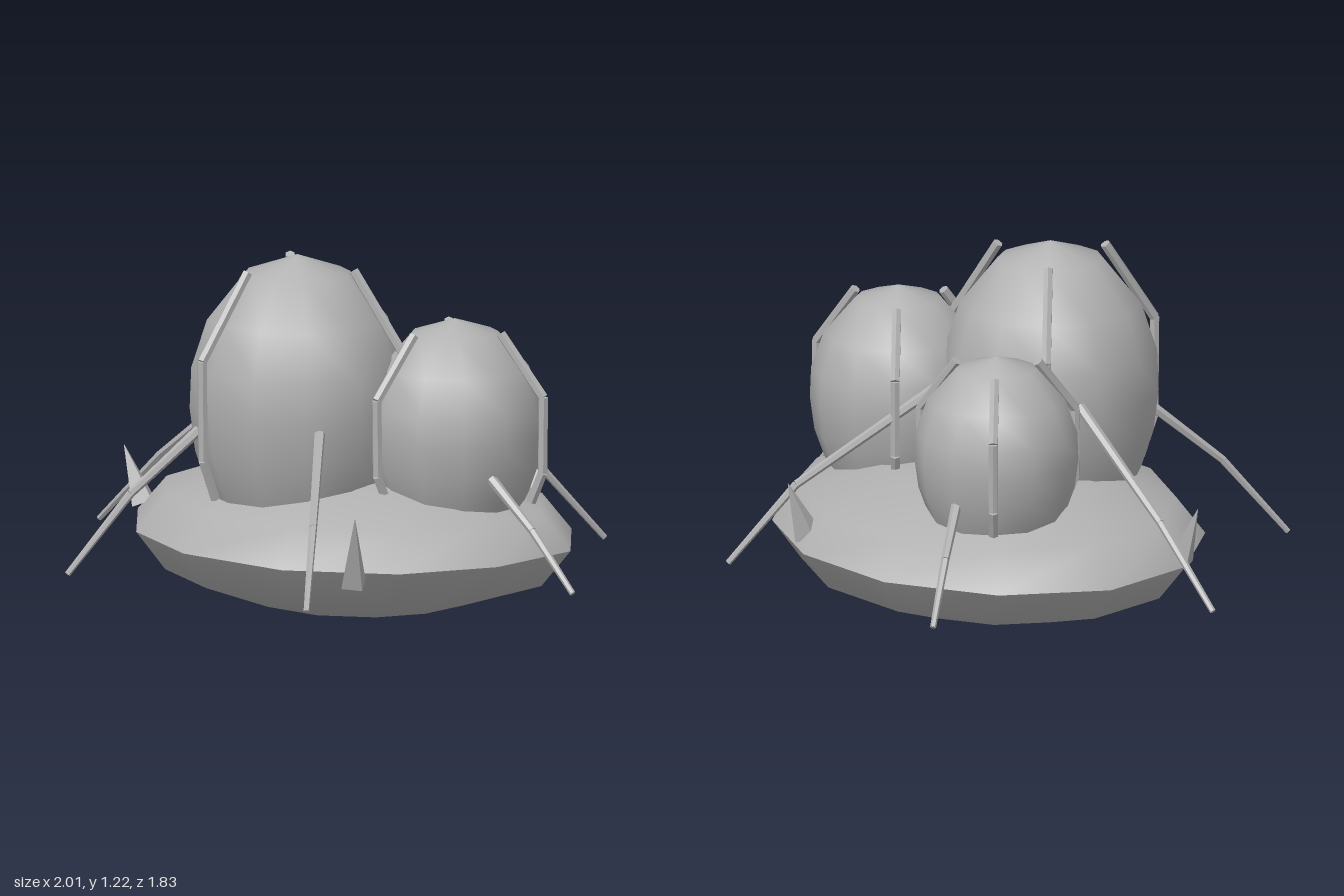
import * as THREE from 'three';

const grey = new THREE.MeshStandardMaterial({ color: 0xb0b0b0 });
grey.name = 'grey';

const V = (x, y, z) => new THREE.Vector3(x, y, z);

function add(parent, geometry, name) {
  const mesh = new THREE.Mesh(geometry, grey);
  mesh.name = name;
  parent.add(mesh);
  return mesh;
}

function flat(geometry) {
  const g = geometry.toNonIndexed();
  g.computeVertexNormals();
  return g;
}

// Faceted tapered rod from a to b
function rod(parent, a, b, ra, rb, sides, name) {
  const dir = b.clone().sub(a);
  const geo = flat(new THREE.CylinderGeometry(rb, ra, dir.length(), sides));
  const mesh = add(parent, geo, name);
  mesh.position.copy(a).add(b).multiplyScalar(0.5);
  mesh.quaternion.setFromUnitVectors(V(0, 1, 0), dir.normalize());
}

// Chain of rods with thickness running from r0 to r1
function chain(parent, points, r0, r1, name) {
  const n = points.length - 1;
  const r = (i) => r0 + ((r1 - r0) * i) / n;
  for (let i = 0; i < n; i++) rod(parent, points[i], points[i + 1], r(i), r(i + 1), 6, name);
}

// Irregular rim of the saucer as x, z pairs
const rim = [
  [0, -0.77], [0.41, -0.67], [0.73, -0.43], [0.81, -0.07], [0.72, 0.27], [0.43, 0.54],
  [0, 0.63], [-0.4, 0.53], [-0.73, 0.28], [-0.86, -0.07], [-0.74, -0.43], [-0.42, -0.69],
];

// Half of the saucer: rings shrink from the rim to a pole
function saucerHalf(height) {
  const n = rim.length, pos = [], index = [], cz = -0.07, y0 = 0.26;
  for (let j = 0; j < 3; j++) {
    const t = (j * Math.PI) / 6;
    for (const [x, z] of rim) {
      pos.push(x * Math.cos(t), y0 + height * Math.sin(t), cz + (z - cz) * Math.cos(t));
    }
  }
  pos.push(0, y0 + height, cz);
  const id = (j, i) => (j === 3 ? 3 * n : j * n + (i % n));
  const tri = (a, b, c) => (height > 0 ? index.push(a, b, c) : index.push(a, c, b));
  for (let j = 0; j < 3; j++) {
    for (let i = 0; i < n; i++) {
      tri(id(j, i), id(j + 1, i), id(j, i + 1));
      if (j < 2) tri(id(j, i + 1), id(j + 1, i), id(j + 1, i + 1));
    }
  }
  const g = new THREE.BufferGeometry();
  g.setAttribute('position', new THREE.Float32BufferAttribute(pos, 3));
  g.setIndex(index);
  g.computeVertexNormals();
  return g;
}

// Egg-shaped pod: radius fraction and height fraction between foot and top
const eggProfile = [
  [0.76, -0.05], [0.84, 0.03], [0.95, 0.18], [1, 0.36], [0.985, 0.53],
  [0.84, 0.73], [0.49, 0.925], [0.001, 1],
];

function pod(parent, { x, z, r, foot, top }) {
  const group = new THREE.Group();
  group.name = 'pod';
  group.position.set(x, 0, z);
  parent.add(group);
  const h = top - foot;
  const profile = eggProfile.map(([pr, py]) => new THREE.Vector2(pr * r, foot + py * h));
  add(group, new THREE.LatheGeometry(profile, 12), 'podShell');

  // Three bent struts clasping the shell
  for (let k = 0; k < 3; k++) {
    const a = (k * Math.PI * 2) / 3;
    const at = (rad, y) => V(Math.sin(a) * rad, y, Math.cos(a) * rad);
    chain(group, [
      at(r * 0.57, top - 0.04), at(r * 1.09, foot + 0.6 * h),
      at(r * 1.08, foot + 0.18 * h), at(r * 0.94, foot + 0.01),
    ], 0.017, 0.017, 'podStrut');
  }
}

export function createModel() {
  const model = new THREE.Group();
  model.name = 'podStation';

  // Saucer
  add(model, saucerHalf(0.24), 'saucerTop');
  add(model, saucerHalf(-0.255), 'saucerBottom');

  // Pods
  pod(model, { x: 0, z: 0.16, r: 0.36, foot: 0.42, top: 1.22 });
  pod(model, { x: 0.38, z: -0.21, r: 0.295, foot: 0.41, top: 1.02 });
  pod(model, { x: -0.36, z: -0.235, r: 0.273, foot: 0.41, top: 0.965 });

  // Legs, each with a slight knee
  const legs = [
    [V(-0.13, 0.64, 0.47), V(-0.2, 0.44, 0.7), V(-0.27, 0.18, 0.91)],
    [V(0.33, 0.68, 0.31), V(0.55, 0.42, 0.5), V(0.73, 0.18, 0.66)],
    [V(-0.34, 0.74, 0.09), V(-0.74, 0.43, 0.18), V(-1, 0.18, 0.24)],
    [V(0.64, 0.52, -0.17), V(0.82, 0.37, -0.205), V(1, 0.18, -0.24)],
    [V(0.05, 0.79, -0.17), V(0.2, 0.44, -0.69), V(0.27, 0.18, -0.91)],
    [V(-0.47, 0.52, -0.44), V(-0.61, 0.37, -0.56), V(-0.73, 0.18, -0.67)],
  ];
  legs.forEach((p) => chain(model, p, 0.018, 0.01, 'leg'));

  // Spikes around the rim
  const spikes = [
    [V(-0.71, 0.28, 0.27), V(-0.78, 0.47, 0.3)],
    [V(0.64, 0.23, 0.4), V(0.73, 0.47, 0.46)],
    [V(0.1, 0.29, -0.7), V(0.1, 0.48, -0.775)],
  ];
  spikes.forEach(([a, b]) => rod(model, a, b, 0.05, 0.001, 4, 'spike'));

  return model;
}
